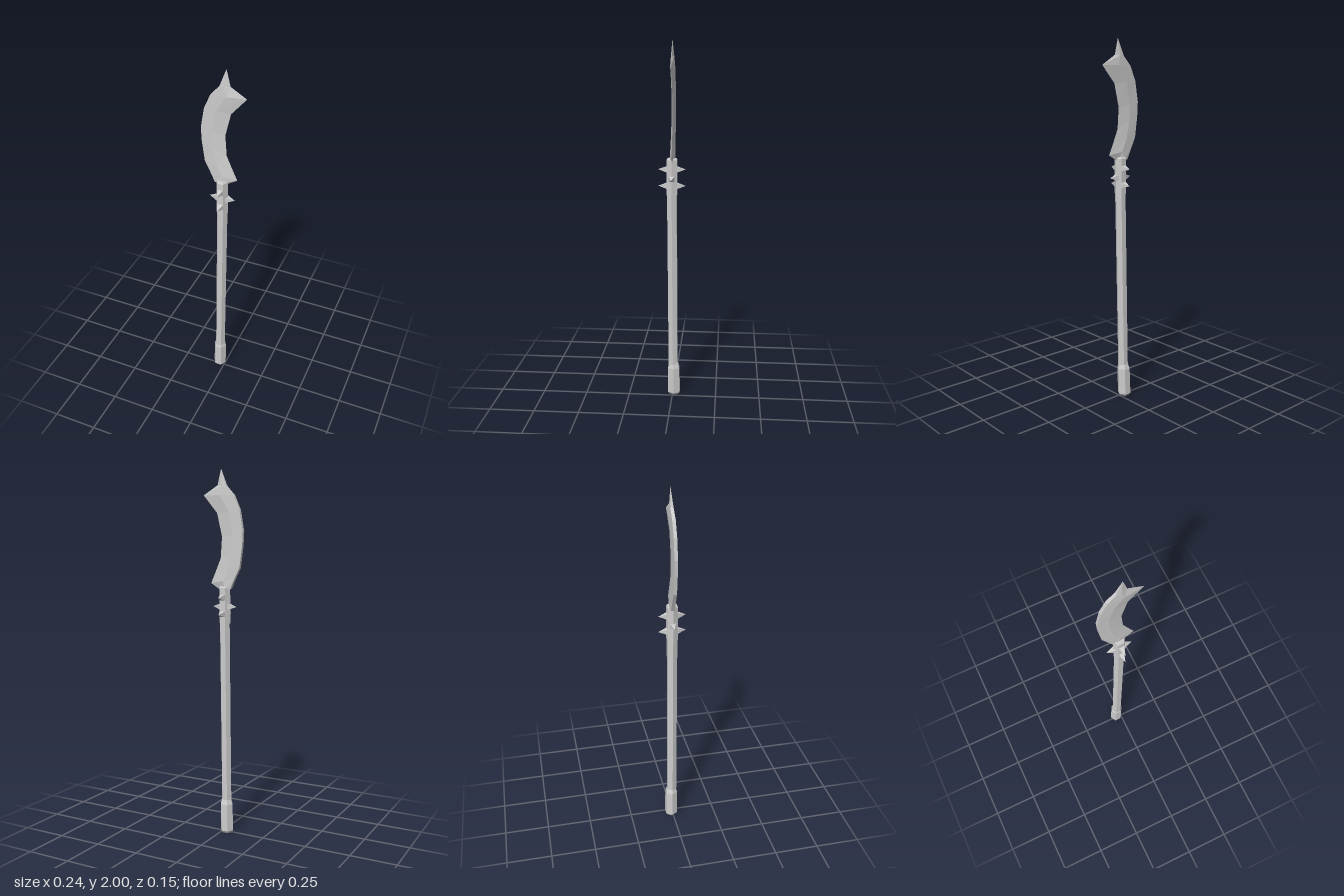
import * as THREE from 'three';

const material = new THREE.MeshStandardMaterial({ color: 0xcccccc, flatShading: true });

// Skin a stack of rings (bottom to top, counter-clockwise from above) and cap both ends
function loft(name, rings) {
  const pos = [];
  const tri = (...pts) => pts.forEach((p) => pos.push(...p));
  const n = rings[0].length;
  for (let i = 0; i < rings.length - 1; i++) {
    for (let j = 0; j < n; j++) {
      const k = (j + 1) % n;
      const [lo, hi] = [rings[i], rings[i + 1]];
      tri(lo[j], lo[k], hi[k]);
      tri(lo[j], hi[k], hi[j]);
    }
  }
  const top = rings[rings.length - 1];
  for (let j = 1; j < n - 1; j++) {
    tri(rings[0][0], rings[0][j + 1], rings[0][j]);
    tri(top[0], top[j], top[j + 1]);
  }
  const geometry = new THREE.BufferGeometry();
  geometry.setAttribute('position', new THREE.Float32BufferAttribute(pos, 3));
  geometry.computeVertexNormals();
  const mesh = new THREE.Mesh(geometry, material);
  mesh.name = name;
  return mesh;
}

// Hexagonal ring with flats facing front and back
function hex([x, y, z, r]) {
  return Array.from({ length: 6 }, (_, i) => {
    const a = (i * Math.PI) / 3;
    return [x + r * Math.cos(a), y, z - r * Math.sin(a)];
  });
}

// Blade section: flat spine, thick ridge, sharp edge
function bladeSection([sx, sy, ex, ey, spine, ridge]) {
  const z = -0.002;
  const mx = THREE.MathUtils.lerp(sx, ex, 0.45);
  const my = THREE.MathUtils.lerp(sy, ey, 0.45);
  return [
    [sx, sy, z - spine], [sx, sy, z + spine], [mx, my, z + ridge],
    [ex, ey, z], [mx, my, z - ridge],
  ];
}

export function createModel() {
  const model = new THREE.Group();
  model.name = 'polearm';

  // Slightly leaning six-sided grip: x, y, z, radius
  model.add(loft('pommel', [
    [-0.032, 0, -0.009, 0.027], [-0.031, 0.014, -0.009, 0.038],
    [-0.027, 0.165, -0.007, 0.037], [-0.026, 0.19, -0.006, 0.029],
  ].map(hex)));
  model.add(loft('shaft', [[-0.026, 0.18, -0.004, 0.029], [-0.01, 1.19, 0.002, 0.03]].map(hex)));
  model.add(loft('collar', [
    [-0.011, 1.18, 0.002, 0.033], [-0.01, 1.372, 0.002, 0.033], [-0.01, 1.38, 0.002, 0.029],
  ].map(hex)));

  // Four-sided spikes: two at the front, two at the back, one on each side
  const spikes = new THREE.Group();
  spikes.name = 'collarSpikes';
  const up = new THREE.Vector3(0, 1, 0);
  const base = 0.018;
  for (const [y, dx, dz] of [
    [1.32, 0, 1], [1.23, 0, 1], [1.32, 0, -1], [1.23, 0, -1], [1.27, 1, 0], [1.27, -1, 0],
  ]) {
    const length = 0.052;
    const geometry = new THREE.ConeGeometry(0.024, length, 4);
    geometry.rotateY(Math.PI / 4);
    const spike = new THREE.Mesh(geometry, material);
    spike.name = 'spike';
    spike.quaternion.setFromUnitVectors(up, new THREE.Vector3(dx, 0, dz));
    const offset = base + 0.004 + length / 2 - (dx ? 0.002 : 0);
    spike.position.set(-0.01 + dx * offset, y, 0.002 + dz * (offset + 0.001));
    spikes.add(spike);
  }
  model.add(spikes);

  // Curved blade: spine x, y, edge x, y, spine and ridge half thickness
  model.add(loft('blade', [
    [-0.05, 1.365, 0.015, 1.36, 0.01, 0.015],
    [-0.075, 1.42, 0.072, 1.395, 0.01, 0.014],
    [-0.105, 1.48, 0.043, 1.46, 0.009, 0.013],
    [-0.12, 1.59, 0.013, 1.53, 0.009, 0.011],
    [-0.124, 1.67, 0.005, 1.645, 0.009, 0.01],
    [-0.105, 1.78, 0.035, 1.77, 0.009, 0.011],
    [-0.07, 1.86, 0.117, 1.865, 0.009, 0.012],
    [-0.024, 1.91, 0.032, 1.915, 0.008, 0.009],
    [0.01, 2, 0.011, 2, 0.0005, 0.0005],
  ].map(bladeSection)));

  return model;
}
